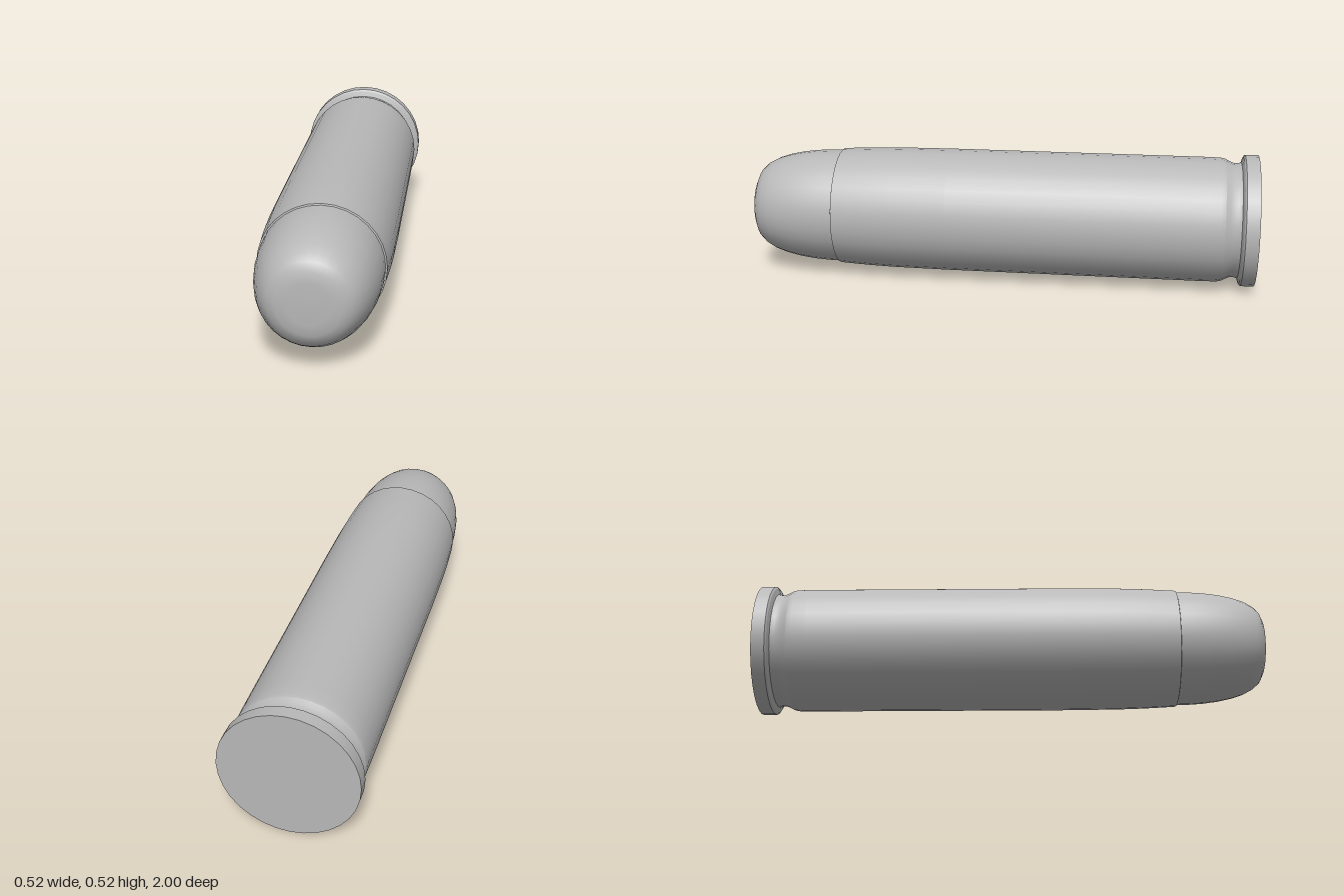
import * as THREE from 'three';

const SEGMENTS = 32;
const AXIS_HEIGHT = 0.258;

export function createModel() {
  const group = new THREE.Group();
  const metal = new THREE.MeshStandardMaterial({ color: 0xb8b8b8 });
  metal.name = 'grey metal';

  // Turns a [radius, z] profile about the long axis; separate turns meet in sharp edges
  function turn(name, profile) {
    const points = profile.map(([r, z]) => new THREE.Vector2(r, z));
    const geometry = new THREE.LatheGeometry(points, SEGMENTS);
    geometry.rotateX(Math.PI / 2);
    geometry.translate(0, AXIS_HEIGHT, 0);
    const mesh = new THREE.Mesh(geometry, metal);
    mesh.name = name;
    group.add(mesh);
  }

  // Flat base with its rim
  turn('base', [[0, -1], [0.258, -1]]);
  turn('rim', [[0.258, -1], [0.258, -0.948]]);
  turn('rimBevel', [[0.258, -0.948], [0.25, -0.942]]);
  turn('rimFront', [[0.25, -0.942], [0.228, -0.935]]);

  // Extractor groove, flaring out to the case
  turn('groove', [
    [0.228, -0.935], [0.224, -0.92], [0.225, -0.905], [0.231, -0.89], [0.24, -0.873],
  ]);

  // Long case with a slight taper at the mouth
  turn('case', [
    [0.24, -0.873], [0.244, -0.855], [0.245, -0.8], [0.245, 0.2],
    [0.243, 0.42], [0.24, 0.52], [0.236, 0.6], [0.233, 0.65],
  ]);
  turn('caseMouth', [[0.233, 0.65], [0.226, 0.652]]);

  // Rounded blunt nose
  turn('nose', [
    [0.227, 0.65], [0.226, 0.7], [0.222, 0.76], [0.214, 0.82], [0.202, 0.875],
    [0.187, 0.92], [0.168, 0.955], [0.145, 0.98], [0.115, 0.994], [0.075, 0.999], [0, 1],
  ]);

  return group;
}
